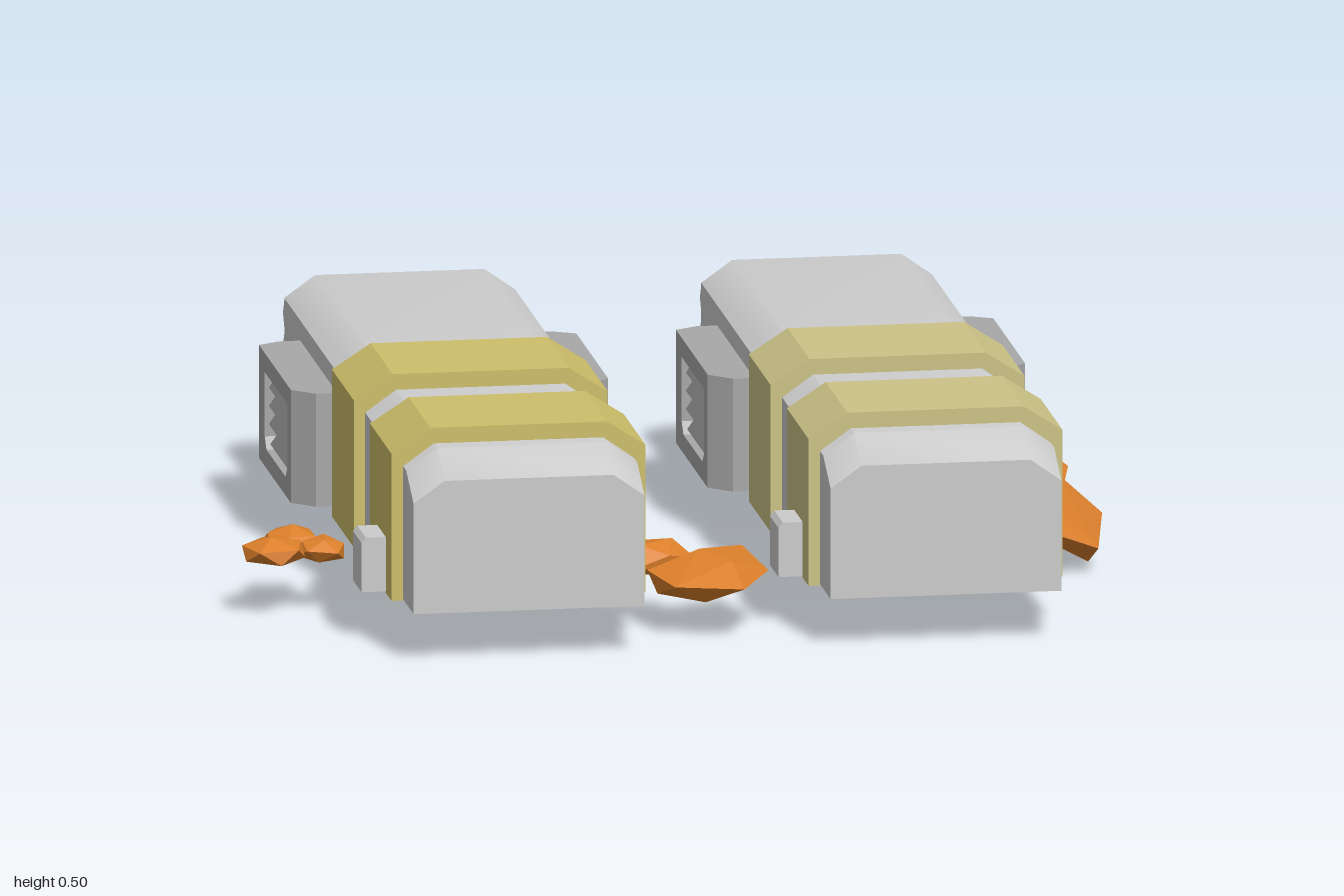
import * as THREE from 'three';
import { toCreasedNormals } from 'three/addons/utils/BufferGeometryUtils.js';
import { ConvexGeometry } from 'three/addons/geometries/ConvexGeometry.js';

const mat = (name, color) => {
  const m = new THREE.MeshStandardMaterial({ color });
  m.name = name;
  return m;
};

const shapeOf = pts => new THREE.Shape(pts.map(p => new THREE.Vector2(...p)));

// House-like outline with sloped shoulders
const hall = (half, base, eave, flat, top) => shapeOf([
  [-half, base], [half, base], [half, eave], [flat, top], [-flat, top], [-half, eave]]);

// Apply a rule to every vertex
function bend(geo, rule) {
  const p = geo.attributes.position, v = new THREE.Vector3();
  for (let i = 0; i < p.count; i++) {
    rule(v.fromBufferAttribute(p, i));
    p.setXYZ(i, v.x, v.y, v.z);
  }
  geo.computeVertexNormals();
  return geo;
}

export function createModel() {
  const hull = mat('light grey hull', 0xcccccc);
  const housing = mat('mid grey housing', 0xa8a8a8);
  const louvre = mat('dark grey louvre', 0x8a8a8a);
  const yellow = mat('strong yellow', 0xcdbf6a);
  const paleYellow = mat('pale yellow', 0xcbc386);
  const rust = mat('orange rock', 0xdb7f2b);

  const model = new THREE.Group();
  model.name = 'outpost';
  const add = (parent, name, geo, material, x = 0, y = 0, z = 0) => {
    const mesh = new THREE.Mesh(geo, material);
    mesh.name = name;
    mesh.position.set(x, y, z);
    parent.add(mesh);
    return mesh;
  };

  // Main hull: three rings, the front one lowered to slope the nose
  const backZ = -0.905, noseZ = 0.826, frontZ = 0.93;
  let bodyGeo = new THREE.ExtrudeGeometry(hall(0.262, 0.112, 0.418, 0.192, 0.468),
    { depth: 2, steps: 2, bevelEnabled: false });
  bodyGeo = toCreasedNormals(bend(bodyGeo, v => {
    if (v.z > 1.5 && v.y > 0.3) v.y -= 0.052;
    v.z = v.z < 0.5 ? backZ : v.z < 1.5 ? noseZ : frontZ;
  }), 0.7);

  // Ribbed back wall
  const ribs = [[0.88, 0.112], [0.88, 0.418]];
  const pitch = (0.418 - 0.112) / 4;
  for (let i = 0; i < 4; i++) {
    const y = 0.418 - i * pitch;
    ribs.push([0.906, y], [0.93, y - pitch / 2]);
  }
  ribs.push([0.906, 0.112]);
  const ribGeo = new THREE.ExtrudeGeometry(shapeOf(ribs), { depth: 0.522, bevelEnabled: false });
  ribGeo.rotateY(Math.PI / 2).translate(-0.261, 0, 0);

  // Yellow band wrapped round the hull
  const bandGeo = depth => toCreasedNormals(new THREE.ExtrudeGeometry(
    hall(0.288, 0.109, 0.447, 0.2, 0.504), { depth, bevelEnabled: false }), 0.5);

  // Vent opening in side view, lower corners cut
  const ventPts = s => [[0.25, 0.328], [0.57, 0.328], [0.57, 0.18], [0.545, 0.155],
    [0.275, 0.155], [0.25, 0.18]].map(([u, y]) => [u * s, y]);

  function sideVent(s) {
    const g = new THREE.Group();
    g.name = s > 0 ? 'leftVent' : 'rightVent';
    const turn = (geo, x) => geo.rotateY(s * Math.PI / 2).translate(s * x, 0, 0);
    // Inner block
    add(g, 'ventBase', new THREE.BoxGeometry(0.07, 0.26, 0.525), housing, s * 0.275, 0.242, -0.4155);
    // Outer frame with chamfered ends
    const frame = shapeOf([[0.153, 0.112], [0.678, 0.112], [0.678, 0.372], [0.153, 0.372]]
      .map(([u, y]) => [u * s, y]));
    frame.holes.push(new THREE.Path(shapeOf(ventPts(s)).getPoints()));
    const frameGeo = bend(new THREE.ExtrudeGeometry(frame, { depth: 0.05, bevelEnabled: false }), v => {
      if (v.z < 0.04) return;
      if (v.x * s < 0.2) v.x += s * 0.047;
      if (v.x * s > 0.6) v.x -= s * 0.028;
    });
    add(g, 'ventFrame', turn(frameGeo, 0.31), housing);
    add(g, 'ventBack', turn(new THREE.ShapeGeometry(shapeOf(ventPts(s))), 0.313), louvre);
    // Tilted slats
    for (let i = 0; i < 4; i++) {
      const slat = add(g, 'ventSlat', new THREE.BoxGeometry(0.009, 0.045, i < 3 ? 0.32 : 0.28),
        louvre, s * 0.334, 0.308 - i * 0.042, -0.41);
      slat.rotation.z = s * 0.6;
    }
    return g;
  }

  // Two matching halls
  [[-0.428, yellow, 'rightHall'], [0.518, paleYellow, 'leftHall']].forEach(([x, bandMat, name]) => {
    const g = new THREE.Group();
    g.name = name;
    g.position.x = x;
    add(g, 'hull', bodyGeo, hull);
    add(g, 'ribbedBack', ribGeo, hull);
    add(g, 'frontBand', bandGeo(0.307), bandMat, 0, 0, 0.473);
    add(g, 'middleBand', bandGeo(0.31), bandMat, 0, 0, -0.067);
    g.add(sideVent(1), sideVent(-1));
    // Small utility box with a cut upper edge
    const box = shapeOf([[-0.25, 0.112], [-0.25, 0.237], [-0.333, 0.237], [-0.343, 0.225], [-0.343, 0.112]]);
    add(g, 'utilityBox', new THREE.ExtrudeGeometry(box, { depth: 0.122, bevelEnabled: false }),
      hull, 0, 0, 0.575);
    model.add(g);
  });

  // Faceted rocks from a few hull points
  const rock = (name, pts) =>
    add(model, name, new ConvexGeometry(pts.map(p => new THREE.Vector3(...p))), rust);

  rock('largeSideRock', [[0.775, 0.17, 0.36], [0.8, 0.13, 0.37], [0.963, 0.06, 0.31], [0.96, 0, 0.18],
    [1, 0.1, 0.13], [0.935, 0.15, 0.02], [0.8, 0.235, 0.02], [0.8, 0.215, 0.28], [0.89, 0.2, 0.15],
    [0.77, 0.12, 0], [0.78, 0.11, 0.2], [0.85, 0.08, 0.31], [0.87, 0.08, 0.02]]);
  rock('smallSideRock', [[0.78, 0.19, -0.16], [0.87, 0.2, -0.15], [0.95, 0.17, -0.04], [0.92, 0.13, 0.06],
    [0.8, 0.25, 0.01], [0.8, 0.245, -0.08], [0.79, 0.1, -0.13], [0.87, 0.085, -0.12], [0.9, 0.11, 0],
    [0.78, 0.15, 0.08], [0.9, 0.21, -0.03]]);
  rock('largeMiddleRock', [[-0.03, 0.13, 0.585], [0.115, 0.155, 0.55], [0.155, 0.125, 0.68],
    [0.075, 0.12, 0.84], [-0.075, 0.12, 0.795], [-0.12, 0.135, 0.68], [0, 0.178, 0.67],
    [0.06, 0.165, 0.75], [-0.1, 0.085, 0.7], [0, 0.075, 0.76], [0.1, 0.09, 0.68], [0.04, 0.08, 0.6]]);

  // Smaller squashed rocks, roughened by a fixed wave
  const pebbles = [
    // x, y, z, rx, ry, rz
    [-0.085, 0.142, 0.59, 0.08, 0.045, 0.08],
    [-0.87, 0.142, 0.285, 0.07, 0.036, 0.075],
    [-0.925, 0.142, 0.39, 0.078, 0.032, 0.076],
    [-0.81, 0.138, 0.37, 0.062, 0.032, 0.06]];
  const seed = new THREE.IcosahedronGeometry(1, 0).attributes.position;
  pebbles.forEach(([x, y, z, rx, ry, rz], k) => {
    const pts = [];
    for (let i = 0; i < seed.count; i++) {
      const v = new THREE.Vector3().fromBufferAttribute(seed, i).applyAxisAngle(new THREE.Vector3(0.3, 1, 0.2).normalize(), k + 0.4);
      const r = 0.98 + 0.13 * Math.sin(7 * v.x + 5 * v.y + 9 * v.z + k);
      pts.push([x + v.x * r * rx, y + v.y * r * ry, z + v.z * r * rz]);
    }
    rock('smallRock', pts);
  });

  return model;
}
